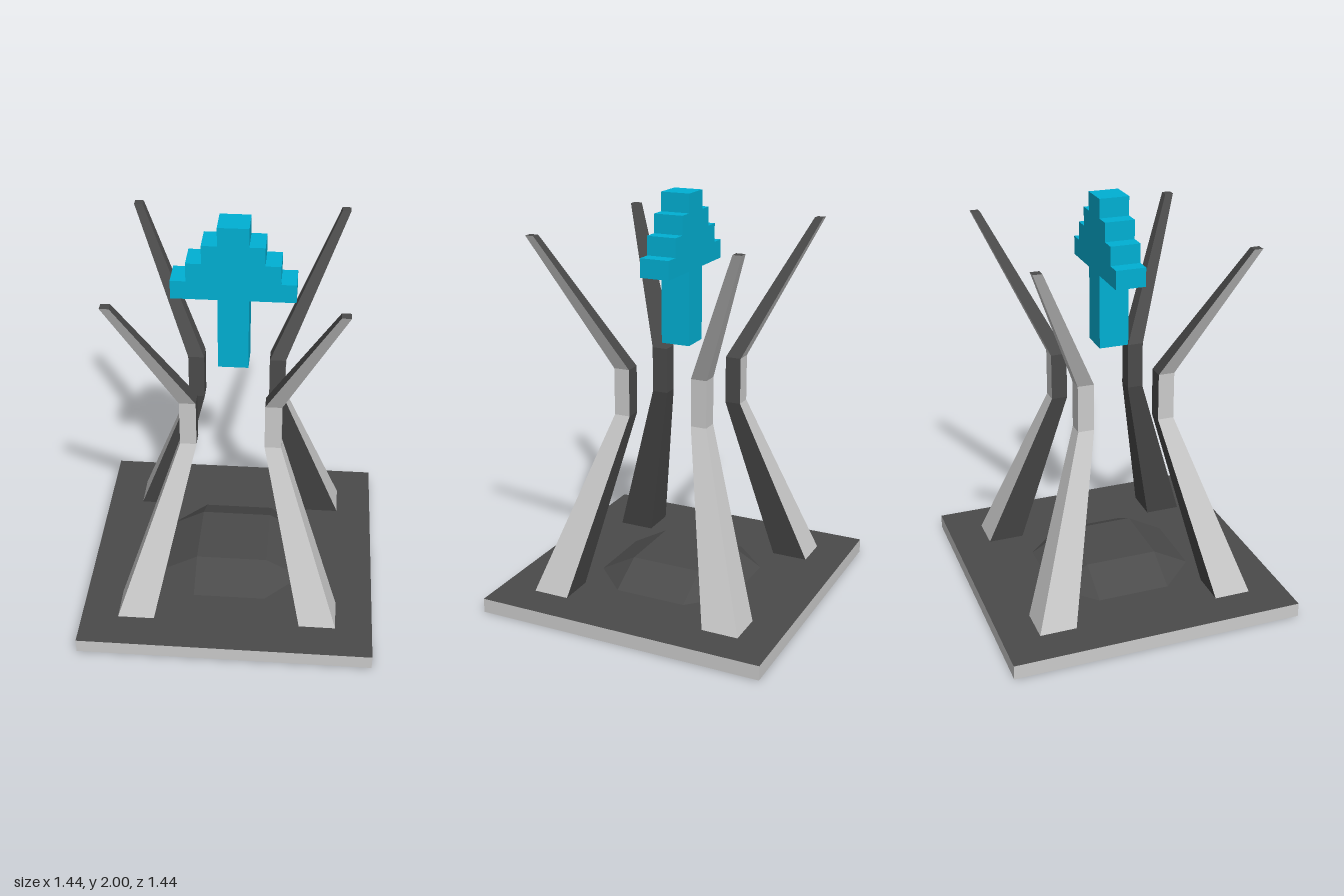
import * as THREE from 'three';
import { ConvexGeometry } from 'three/addons/geometries/ConvexGeometry.js';

const grey = new THREE.MeshStandardMaterial({ color: 0xcccccc, flatShading: true });
const dark = new THREE.MeshStandardMaterial({ color: 0x4b4b4b, flatShading: true });
const blue = new THREE.MeshStandardMaterial({ color: 0x00b0d4, flatShading: true });

function add(parent, name, geometry, material) {
  const mesh = new THREE.Mesh(geometry, material);
  mesh.name = name;
  parent.add(mesh);
  return mesh;
}

// Square-section strut: a box whose rings of vertices follow [y, centre, halfWidth]
function strutGeometry(rings, sx, sz) {
  const n = rings.length - 1;
  const geo = new THREE.BoxGeometry(1, 1, 1, 1, n, 1).toNonIndexed();
  const p = geo.attributes.position;
  for (let i = 0; i < p.count; i++) {
    const [y, c, h] = rings[Math.round((p.getY(i) + 0.5) * n)];
    p.setXYZ(i, sx * c + 2 * h * p.getX(i), y, sz * c + 2 * h * p.getZ(i));
  }
  geo.computeVertexNormals();
  return geo;
}

export function createModel() {
  const model = new THREE.Group();

  // Base plate: light rim, dark top and bottom
  const baseTop = 0.071;
  add(model, 'basePlate', new THREE.BoxGeometry(1.444, baseTop, 1.444),
    [grey, grey, dark, dark, grey, grey]).position.y = baseTop / 2;

  // Low dark mound with cut corners in the middle of the plate
  const points = [];
  for (const sx of [1, -1]) {
    for (const sz of [1, -1]) {
      points.push(
        new THREE.Vector3(sx * 0.18, 0.17, sz * 0.18),
        new THREE.Vector3(sx * 0.36, baseTop, sz * 0.18),
        new THREE.Vector3(sx * 0.18, baseTop, sz * 0.36),
      );
    }
  }
  add(model, 'mound', new ConvexGeometry(points), dark);

  // Four bent pillars: light outer sides, dark inner sides and tips
  const rings = [
    [baseTop, 0.451, 0.09],
    [0.943, 0.2015, 0.0395],
    [1.175, 0.2015, 0.0395],
    [1.836, 0.505, 0.021],
  ];
  for (const [sz, end] of [[1, 'Front'], [-1, 'Back']]) {
    for (const [sx, side] of [[1, 'Left'], [-1, 'Right']]) {
      const xSides = sx > 0 ? [grey, dark] : [dark, grey];
      const zSides = sz > 0 ? [grey, dark] : [dark, grey];
      add(model, 'pillar' + end + side, strutGeometry(rings, sx, sz),
        [...xSides, dark, dark, ...zSides]);
    }
  }

  // Floating stepped arrow: shaft, then four tiers narrowing upwards
  const unit = 0.072, tier = 0.0905, headY = 2 - 4 * tier;
  const half = [[unit, 1.278], [unit, headY]];
  for (let i = 0; i < 4; i++) {
    half.push([unit * (4 - i), headY + i * tier], [unit * (4 - i), headY + (i + 1) * tier]);
  }
  const outline = [...half, ...half.map(([x, y]) => [-x, y]).reverse()];
  const shape = new THREE.Shape(outline.map(([x, y]) => new THREE.Vector2(x, y)));
  const arrow = new THREE.ExtrudeGeometry(shape, { depth: 2 * unit, bevelEnabled: false });
  add(model, 'steppedArrow', arrow.translate(0, 0, -unit), blue);

  return model;
}
